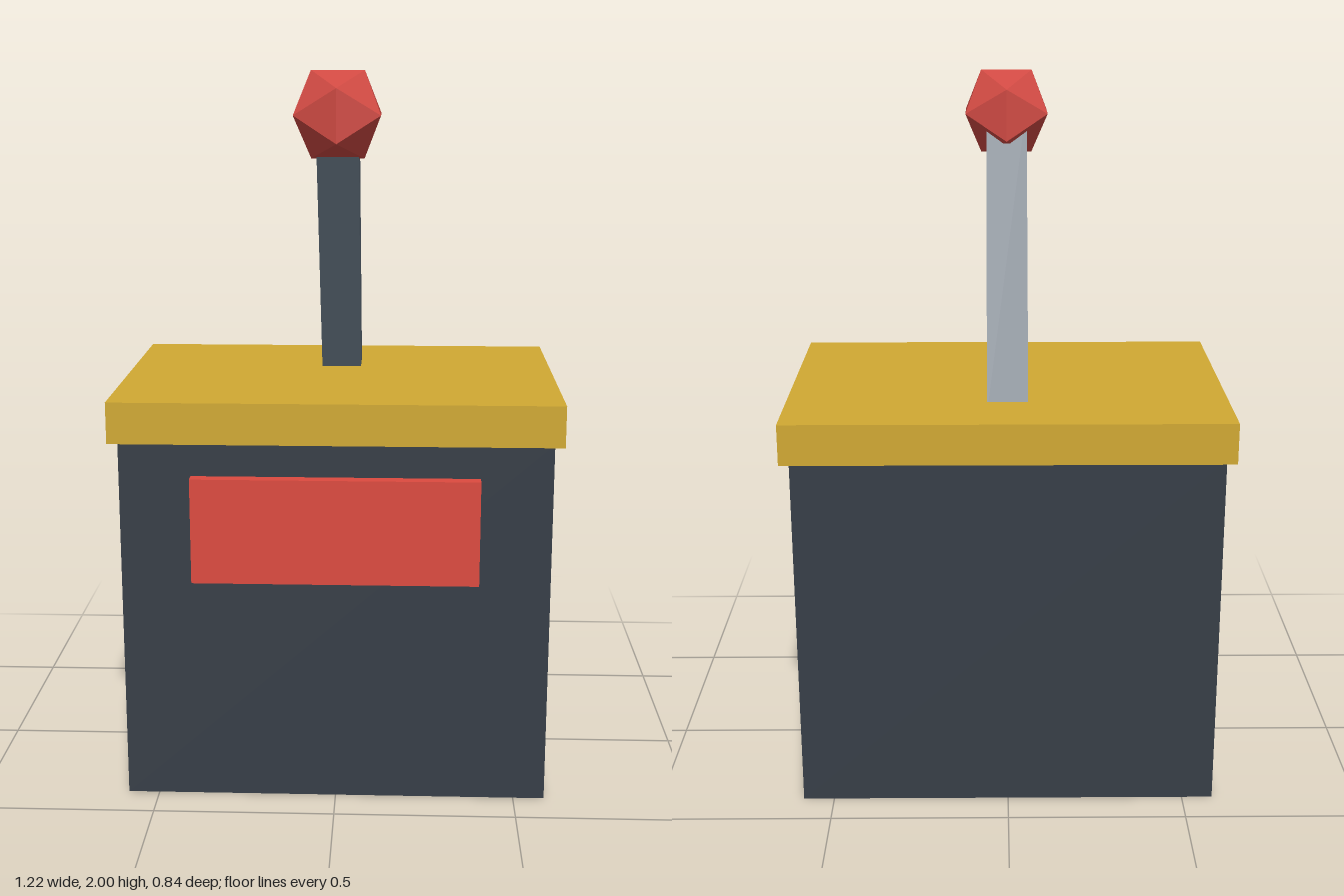
import * as THREE from 'three';

const material = (color) => new THREE.MeshStandardMaterial({ color, flatShading: true });

export function createModel() {
  const model = new THREE.Group();
  model.name = 'leverBox';

  const add = (name, geometry, mat, x, y, z) => {
    const mesh = new THREE.Mesh(geometry, mat);
    mesh.name = name;
    mesh.position.set(x, y, z);
    model.add(mesh);
    return mesh;
  };

  const dark = material(0x373e47);
  const yellow = material(0xd1a932);
  const red = material(0xdd4a3f);
  const steel = material(0x596673);
  const knobRed = material(0xd14a43);

  // Box body with an overhanging lid
  add('body', new THREE.BoxGeometry(1.174, 1.03, 0.782), dark, 0, 0.515, -0.005);
  add('lid', new THREE.BoxGeometry(1.224, 0.114, 0.832), yellow, 0, 1.083, -0.005);

  // Raised plate on the front
  add('frontPlate', new THREE.BoxGeometry(0.782, 0.293, 0.05), red, 0, 0.786, 0.396);

  // Square lever leaning forward from the lid into the knob
  const knob = new THREE.Vector3(0, 1.884, 0.19);
  const tilt = THREE.MathUtils.degToRad(25);
  const length = 0.88;
  const lever = add('lever', new THREE.BoxGeometry(0.114, length, 0.114), steel,
    0, knob.y - Math.cos(tilt) * length / 2, knob.z - Math.sin(tilt) * length / 2);
  lever.rotation.x = tilt;

  // Faceted knob
  add('knob', new THREE.IcosahedronGeometry(0.1365, 0), knobRed, knob.x, knob.y, knob.z);

  return model;
}
